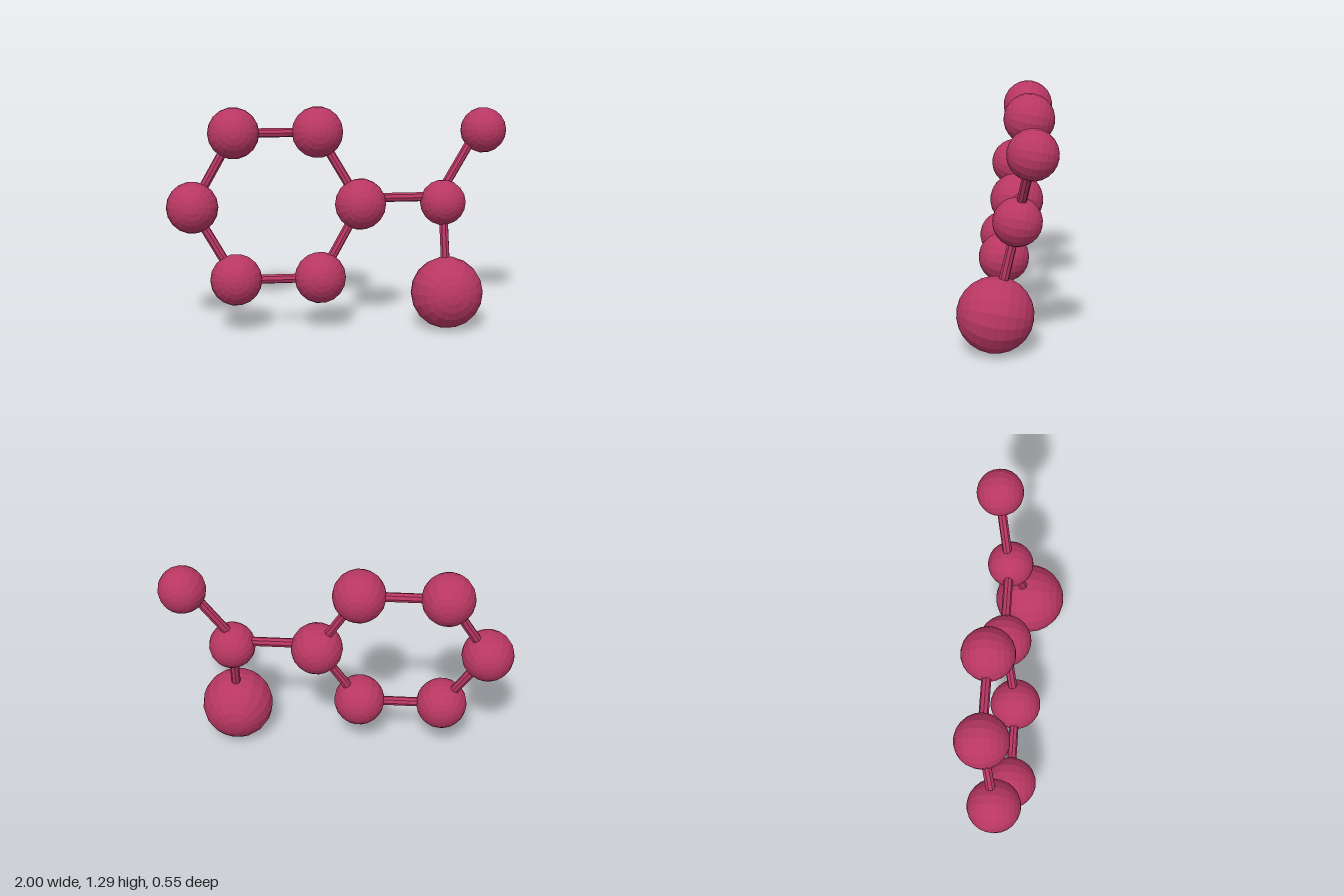
import * as THREE from 'three';

export function createModel() {
  const model = new THREE.Group();
  const berry = new THREE.MeshStandardMaterial({ color: 0xb83762, flatShading: true });
  berry.name = 'berry red';

  // The whole molecule lies in one plane, leaning back slightly
  const lean = -0.178;
  const at = (x, y) => new THREE.Vector3(x, y, -0.053 + (y - 0.73) * lean);
  const normal = new THREE.Vector3(0, -lean, 1).normalize();
  const up = new THREE.Vector3(0, 1, 0);

  function ball(name, p, radius) {
    const mesh = new THREE.Mesh(new THREE.SphereGeometry(radius, 18, 12), berry);
    mesh.name = name;
    mesh.position.copy(p);
    mesh.quaternion.setFromUnitVectors(up, normal); // poles face front and back
    model.add(mesh);
  }

  function rod(name, a, b) {
    const dir = b.clone().sub(a);
    const mesh = new THREE.Mesh(new THREE.CylinderGeometry(0.027, 0.027, dir.length(), 8), berry);
    mesh.name = name;
    mesh.position.copy(a).add(b).multiplyScalar(0.5);
    mesh.quaternion.setFromUnitVectors(up, dir.normalize());
    model.add(mesh);
  }

  // Six-ball ring with a rod along each side
  const ring = [];
  for (let i = 0; i < 6; i++) {
    const a = (i * Math.PI) / 3;
    ring.push(at(-0.36 + 0.488 * Math.cos(a), 0.73 + 0.481 * Math.sin(a)));
  }
  ring.forEach((p, i) => {
    ball('ringBall' + (i + 1), p, 0.15);
    rod('ringRod' + (i + 1), p, ring[(i + 1) % 6]);
  });

  // Side branch: joint, upper end and large lower ball
  const joint = at(0.615, 0.73);
  const tip = at(0.863, 1.145);
  const large = new THREE.Vector3(0.624, 0.215, 0.066);
  ball('branchJoint', joint, 0.134);
  ball('branchTip', tip, 0.134);
  ball('largeBall', large, 0.211);

  // Two of the branch rods sit off-centre
  rod('linkRod', at(0.128, 0.765), at(0.615, 0.765));
  rod('tipRod', at(0.58, 0.75), at(0.836, 1.16));
  rod('largeRod', joint, large);

  return model;
}
